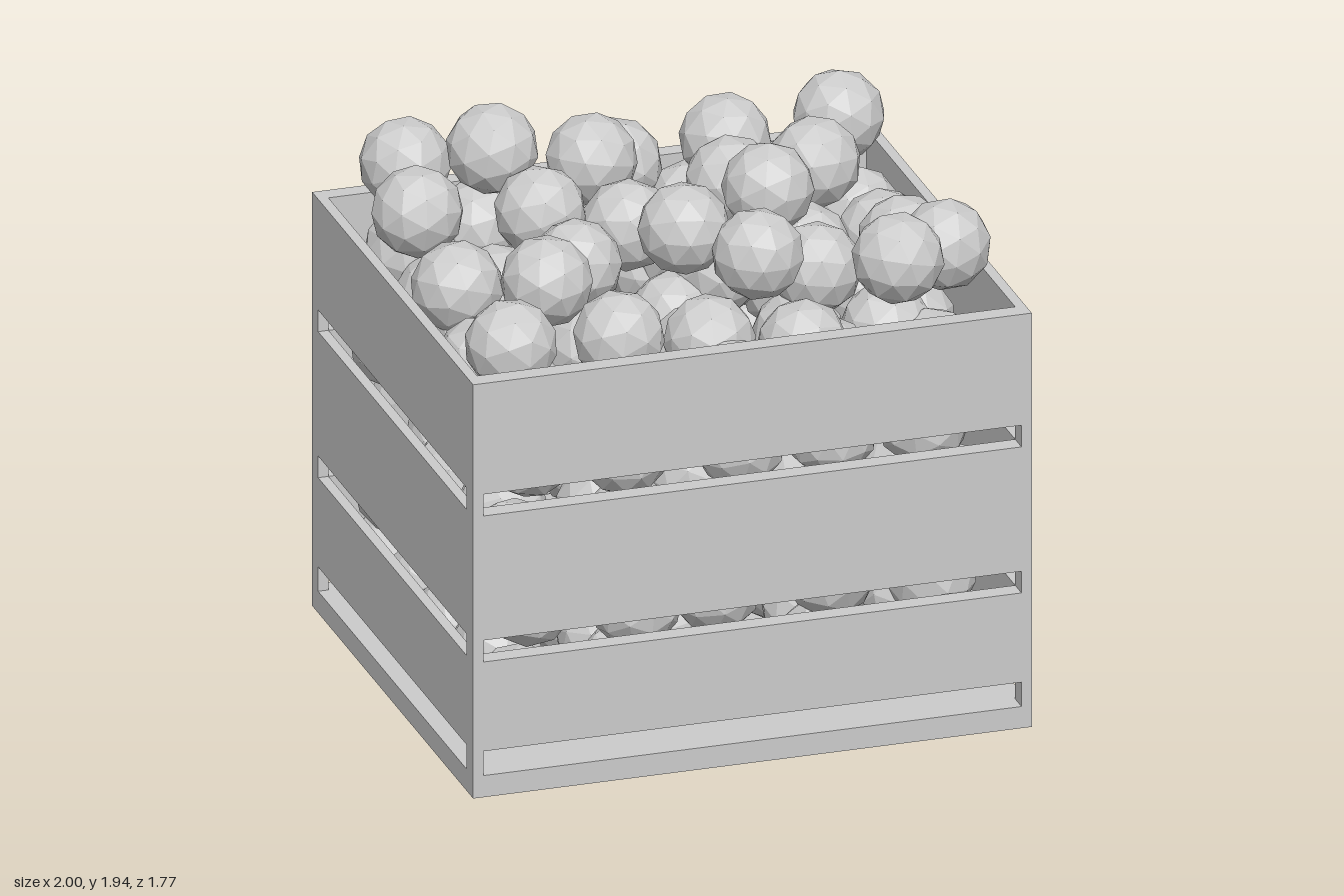
import * as THREE from 'three';

const material = new THREE.MeshStandardMaterial({ color: 0xcccccc });
const fruitMaterial = new THREE.MeshStandardMaterial({ color: 0xcccccc, flatShading: true });

// Crate footprint: outer and inner edges
const X = 1, XI = 0.963, ZB = -0.89, ZF = 0.87, ZBI = -0.825, ZFI = 0.8;
const R = 0.16;

function rectangle(Type, x, zBack, zFront) {
  const s = new Type();
  s.moveTo(-x, -zFront).lineTo(x, -zFront).lineTo(x, -zBack).lineTo(-x, -zBack).closePath();
  return s;
}

// A band of slats running round all four sides
function slatRing(y0, y1) {
  const shape = rectangle(THREE.Shape, X, ZB, ZF);
  shape.holes.push(rectangle(THREE.Path, XI, ZBI, ZFI));
  const g = new THREE.ExtrudeGeometry(shape, { depth: y1 - y0, bevelEnabled: false });
  g.rotateX(-Math.PI / 2).translate(0, y0, 0);
  const mesh = new THREE.Mesh(g, material);
  mesh.name = 'slatRing';
  return mesh;
}

function box(name, x0, x1, y0, y1, z0, z1) {
  const mesh = new THREE.Mesh(new THREE.BoxGeometry(x1 - x0, y1 - y0, z1 - z0), material);
  mesh.position.set((x0 + x1) / 2, (y0 + y1) / 2, (z0 + z1) / 2);
  mesh.name = name;
  return mesh;
}

function seeded(seed) {
  return () => (seed = (seed * 16807) % 2147483647) / 2147483647;
}

// Heaped fruit: x, y, z
const heap = [
  [-0.73, 1.68, -0.70], [-0.49, 1.79, -0.48], [-0.16, 1.74, -0.40], [0.01, 1.60, -0.65],
  [0.37, 1.68, -0.56], [0.81, 1.67, -0.66], [0.59, 1.69, -0.25], [0.29, 1.66, -0.25],
  [-0.83, 1.69, -0.26], [-0.41, 1.66, -0.20], [-0.12, 1.60, -0.13], [-0.78, 1.52, 0.02],
  [-0.38, 1.58, 0.10], [-0.02, 1.70, 0.18], [0.31, 1.77, 0.09], [0.41, 1.55, 0.31],
  [0.76, 1.56, 0.20], [-0.57, 1.65, 0.36], [-0.77, 1.53, 0.58], [-0.39, 1.52, 0.60],
  [0.15, 1.70, 0.47], [0.57, 1.73, 0.72], [0.81, 1.66, 0.50],
  [-0.78, 1.45, -0.49], [-0.78, 1.35, 0.29], [0.77, 1.44, -0.36], [0.77, 1.48, -0.05],
  [0.48, 1.48, -0.02], [0.27, 1.40, 0.60], [0.58, 1.45, -0.62], [-0.02, 1.40, 0.46],
  [-0.32, 1.36, 0.33], [0.17, 1.45, -0.02], [0.60, 1.38, 0.50], [0.10, 1.42, -0.28],
  [-0.50, 1.45, -0.62], [-0.27, 1.42, -0.62], [0.26, 1.42, -0.62], [-0.56, 1.38, -0.22],
];

export function createModel() {
  const model = new THREE.Group();

  // Crate
  const crate = new THREE.Group();
  crate.name = 'crate';
  crate.add(box('floor', -X, X, 0, 0.08, ZB, ZF));
  for (const [y0, y1] of [[0.17, 0.5], [0.58, 1.04], [1.12, 1.53]]) crate.add(slatRing(y0, y1));
  // Corner posts bridging the gaps between the bands
  for (const [y0, y1] of [[0.08, 0.17], [0.5, 0.58], [1.04, 1.12]]) {
    for (const [x0, x1] of [[-X, -XI], [XI, X]]) {
      crate.add(box('cornerPost', x0, x1, y0, y1, ZB, ZBI), box('cornerPost', x0, x1, y0, y1, ZFI, ZF));
    }
  }
  model.add(crate);

  // Packed layers of fruit below the heap
  const centres = [...heap];
  const random = seeded(77);
  const jitter = (a) => (random() - 0.5) * a;
  for (const y of [0.28, 0.55, 0.82, 1.09, 1.32]) {
    for (let i = 0; i < 5; i++) {
      for (let j = 0; j < 5; j++) {
        const x = (i - 2) * 0.37 + jitter(0.1);
        const z = (j - 2) * 0.3 + jitter(0.08);
        centres.push([x, y + (y < 0.3 ? 0 : jitter(0.08)), z]);
      }
    }
  }

  const fruit = new THREE.Group();
  fruit.name = 'fruitPile';
  const ball = new THREE.IcosahedronGeometry(R, 1);
  for (const c of centres) {
    const mesh = new THREE.Mesh(ball, fruitMaterial);
    mesh.name = 'fruit';
    mesh.position.set(...c);
    mesh.rotation.set(random() * 6, random() * 6, random() * 6);
    fruit.add(mesh);
  }
  model.add(fruit);
  return model;
}
